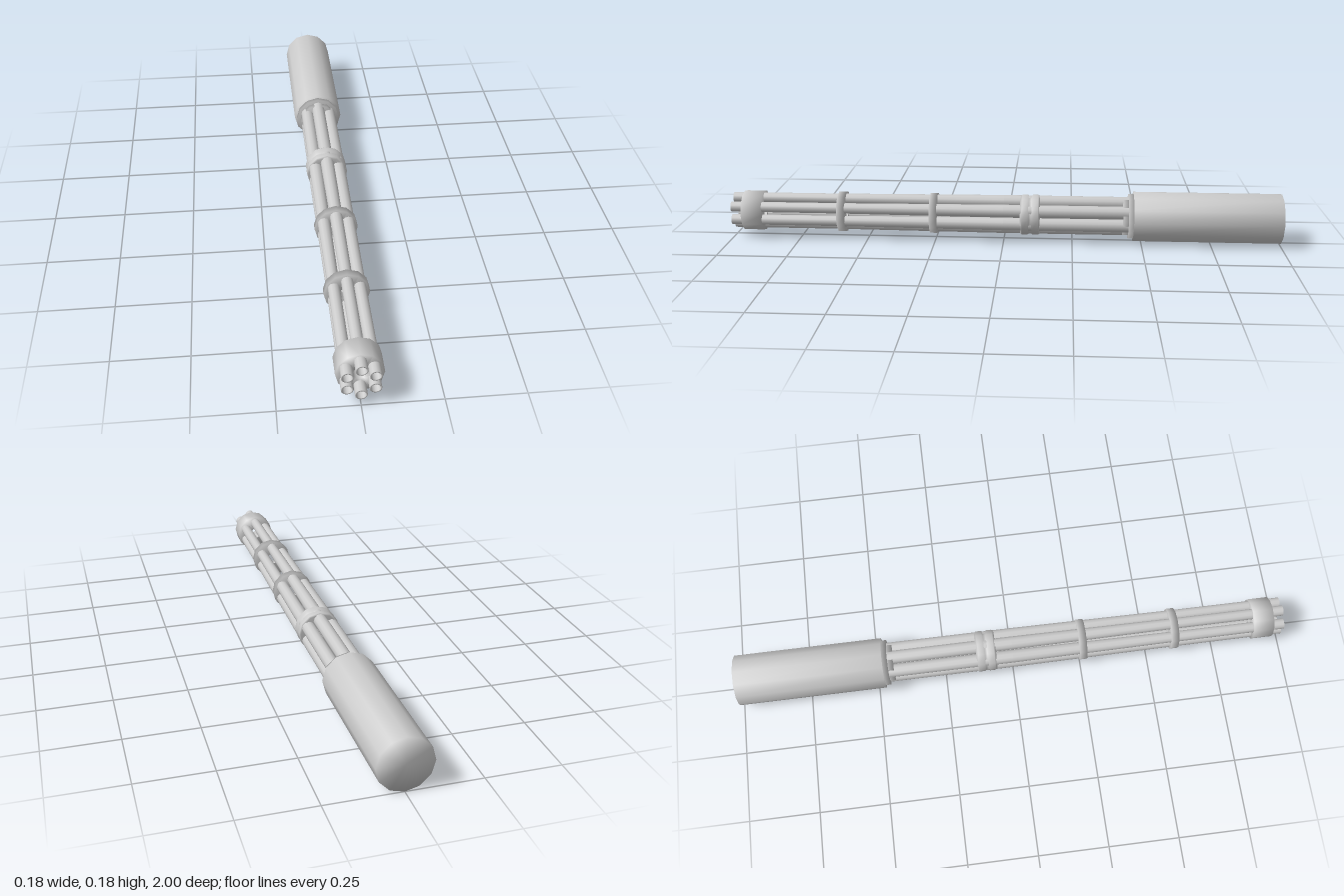
import * as THREE from 'three';

const AXIS_Y = 0.092;
const SIDES = 12;

export function createModel() {
  const model = new THREE.Group();
  const grey = new THREE.MeshStandardMaterial({ color: 0xcccccc });

  // Turned part along z: profile of [radius, z], running from rear to front on the outside
  const turned = (name, profile, x = 0, y = 0) => {
    const points = profile.map(([r, z]) => new THREE.Vector2(r, z));
    const geometry = new THREE.LatheGeometry(points, SIDES).rotateX(Math.PI / 2);
    const mesh = new THREE.Mesh(geometry, grey);
    mesh.name = name;
    mesh.position.set(x, AXIS_Y + y, 0);
    model.add(mesh);
  };

  // Rear housing with its stepped front collar
  turned('housing', [[0, -1], [0.092, -1], [0.092, -0.47], [0, -0.47]]);
  turned('outerCollar', [[0, -0.48], [0.083, -0.48], [0.083, -0.452], [0, -0.452]]);
  turned('innerCollar', [[0, -0.46], [0.07, -0.46], [0.07, -0.432], [0, -0.432]]);

  // Clamp rings with an open centre
  const ring = (name, rear, front, radius, outline = []) => turned(name, [
    [0.022, rear], [radius, rear], ...outline, [radius, front], [0.022, front], [0.022, rear],
  ]);
  ring('rearClamp', -0.132, -0.06, 0.071,
    [[0.075, -0.125], [0.075, -0.105], [0.071, -0.1], [0.071, -0.092], [0.075, -0.087], [0.075, -0.067]]);
  ring('middleClamp', 0.243, 0.27, 0.075);
  ring('frontClamp', 0.581, 0.608, 0.075);
  ring('muzzleClamp', 0.887, 0.96, 0.074);

  // Six slightly tapered barrels with hollow muzzles
  const barrel = [
    [0, -0.46], [0.024, -0.46], [0.024, 0], [0.0195, 0.6],
    [0.019, 1], [0.0145, 1], [0.0145, 0.92], [0, 0.92],
  ];
  for (let i = 0; i < 6; i++) {
    const a = Math.PI / 2 + i * Math.PI / 3;
    turned('barrel', barrel, 0.0485 * Math.cos(a), 0.0485 * Math.sin(a));
  }
  return model;
}
